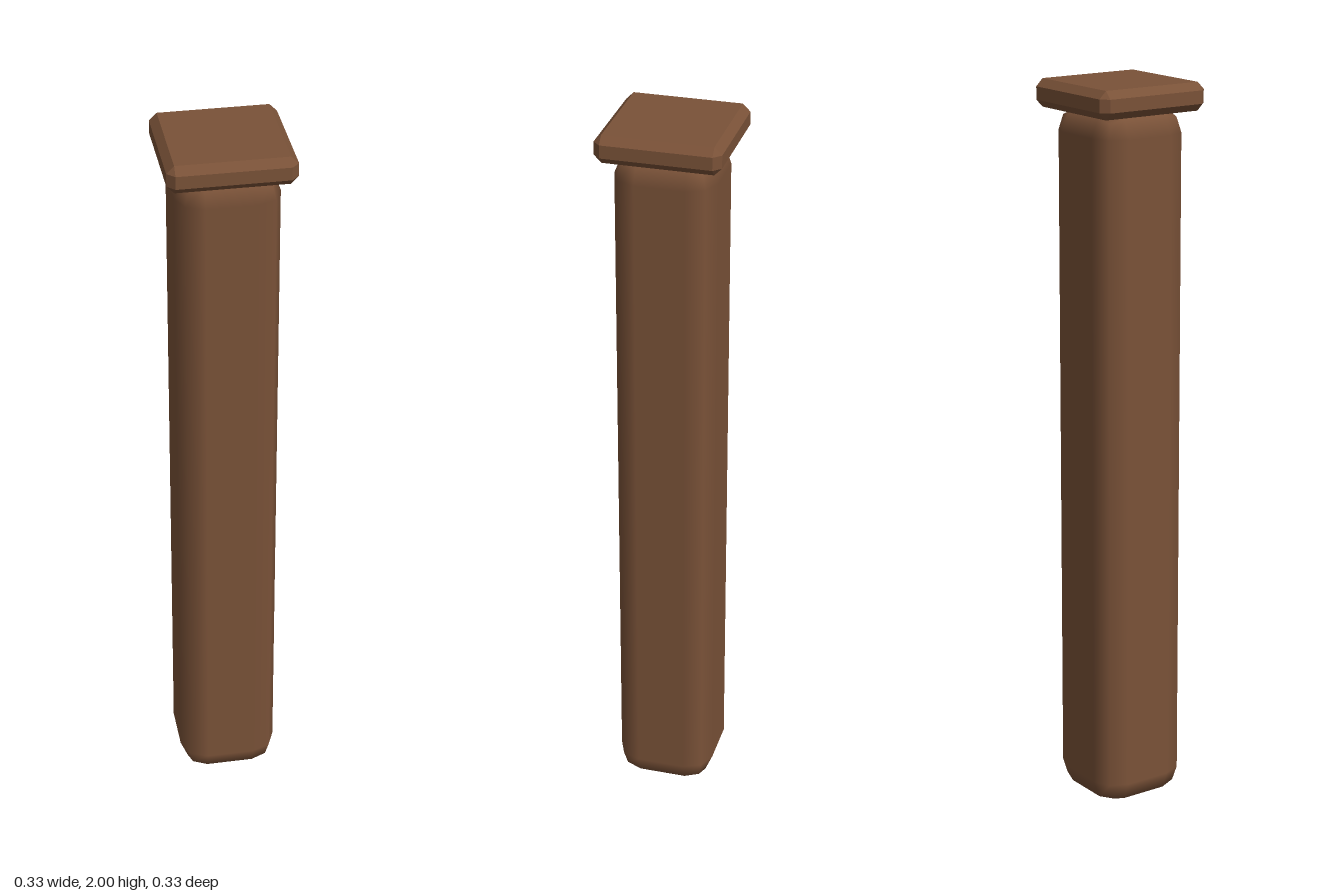
import * as THREE from 'three';
import { RoundedBoxGeometry } from 'three/addons/geometries/RoundedBoxGeometry.js';
import { ConvexGeometry } from 'three/addons/geometries/ConvexGeometry.js';

// Box with flat chamfered edges and triangular corners
function chamferedBox(w, h, d, c) {
  const points = [];
  for (const x of [-1, 1]) for (const y of [-1, 1]) for (const z of [-1, 1]) {
    for (let axis = 0; axis < 3; axis++) {
      const inset = [c, c, c];
      inset[axis] = 0;
      points.push(new THREE.Vector3(
        x * (w / 2 - inset[0]), y * (h / 2 - inset[1]), z * (d / 2 - inset[2])));
    }
  }
  return new ConvexGeometry(points);
}

export function createModel() {
  const group = new THREE.Group();
  group.name = 'post';
  const wood = new THREE.MeshStandardMaterial({ color: 0x7a5238 });
  wood.name = 'brown wood';

  // Shaft: softly rounded edges, its top tucked just inside the cap
  const shaftHeight = 1.937;
  const shaft = new THREE.Mesh(new RoundedBoxGeometry(0.272, shaftHeight, 0.272, 1, 0.07), wood);
  shaft.name = 'shaft';
  shaft.position.y = shaftHeight / 2;

  // Cap: wider square slab with chamfered edges
  const capHeight = 0.075;
  const cap = new THREE.Mesh(chamferedBox(0.33, capHeight, 0.33, 0.02), wood);
  cap.name = 'cap';
  cap.position.y = 2 - capHeight / 2;

  group.add(shaft, cap);
  return group;
}
